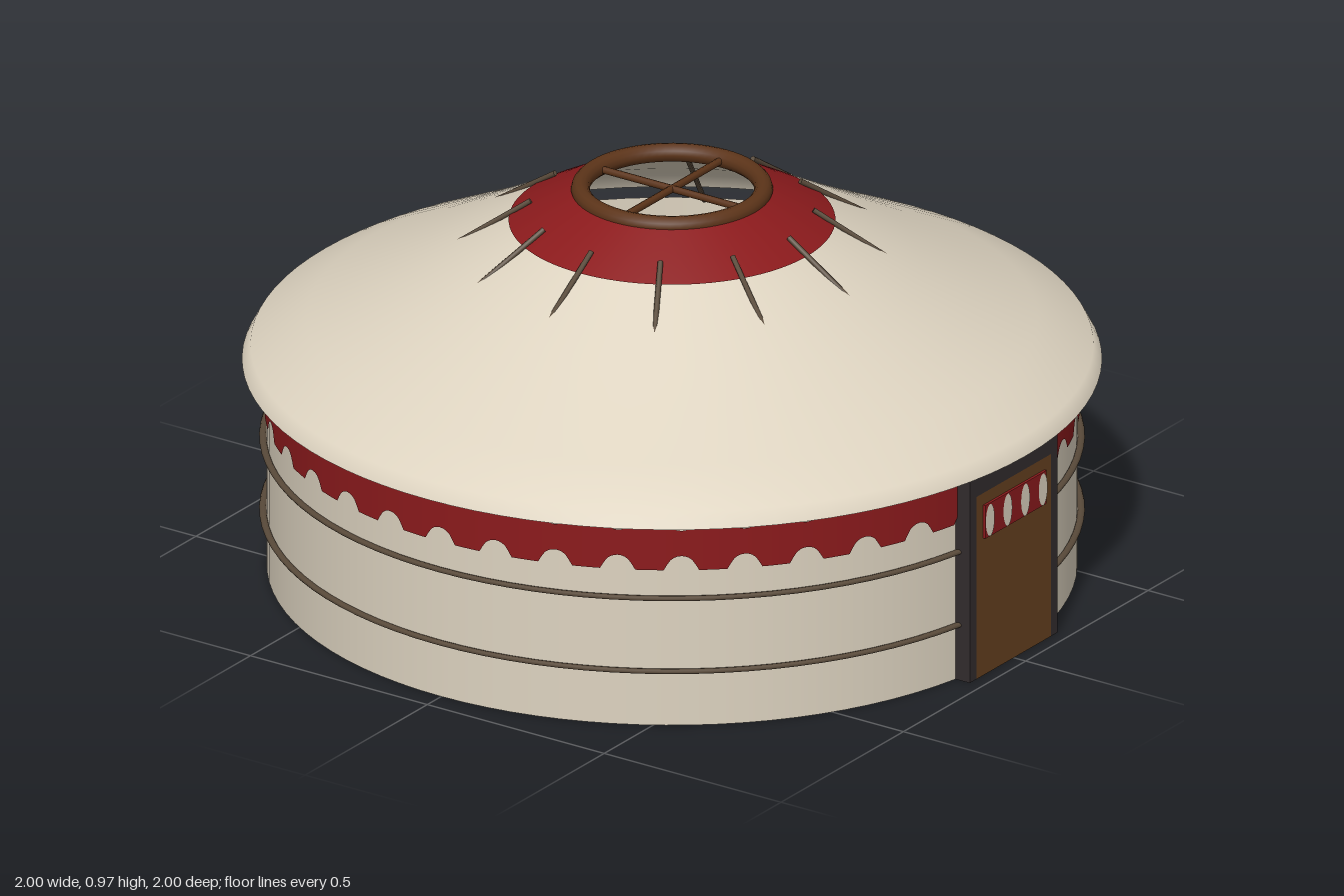
import * as THREE from 'three';

const mat = (name, color, side = THREE.FrontSide) => {
  const m = new THREE.MeshStandardMaterial({ color, side });
  m.name = name;
  return m;
};

export function createModel() {
  const felt = mat('cream felt', 0xddd3c0, THREE.DoubleSide);
  const red = mat('red cloth', 0x8b1a1c, THREE.DoubleSide);
  const crownWood = mat('crown wood', 0x5c3419);
  const doorWood = mat('door wood', 0x65401f);
  const frameWood = mat('dark frame', 0x322c2d);
  const rope = mat('pole and rope', 0x594a3a);

  const group = new THREE.Group();
  const add = (name, geometry, material, x = 0, y = 0, z = 0, parent = group) => {
    const m = new THREE.Mesh(geometry, material);
    m.name = name;
    m.position.set(x, y, z);
    parent.add(m);
    return m;
  };
  const lathe = (pts) => new THREE.LatheGeometry(pts.map(([r, y]) => new THREE.Vector2(r, y)), 96);

  // Round felt wall, open below, with an air gap under the eave
  add('wall', new THREE.CylinderGeometry(0.943, 0.943, 0.518, 96, 1, true), felt, 0, 0.259, 0);

  // Gently concave roof with a short turned-down eave
  add('roof', lathe([[1, 0.52], [0.98, 0.557], [0.85, 0.622], [0.71, 0.692],
    [0.58, 0.761], [0.49, 0.81], [0.38, 0.868], [0.3, 0.912], [0.2, 0.96]]), felt);

  // Red collar around the smoke hole
  add('roofCollar', lathe([[0.38, 0.872], [0.3, 0.916], [0.205, 0.962]]), red);

  // Red wall band with rounded notches along both edges, smaller at the top
  const COUNT = 40;
  const bandGeo = new THREE.CylinderGeometry(0.948, 0.948, 1, COUNT * 18, 1, true);
  const p = bandGeo.attributes.position;
  const period = (Math.PI * 2) / COUNT;
  const notch = (d, half) => Math.sqrt(Math.max(0, 1 - (d / half) ** 2));
  for (let i = 0; i < p.count; i++) {
    const a = Math.atan2(p.getX(i), p.getZ(i));
    const d = a - Math.round(a / period) * period;
    p.setY(i, p.getY(i) > 0 ? 0.513 - 0.018 * notch(d, 0.03) : 0.395 + 0.036 * notch(d, 0.038));
  }
  add('wallBand', bandGeo, red);

  // Flat ropes tied around the wall
  const ropeGeo = new THREE.TorusGeometry(0.951, 0.009, 8, 96);
  ropeGeo.rotateX(Math.PI / 2);
  ropeGeo.scale(1, 0.65, 1);
  for (const y of [0.14, 0.325]) add('wallRope', ropeGeo, rope, 0, y, 0);

  // Twelve straight rafters whose upper ends break through the felt
  const up = new THREE.Vector3(0, 1, 0);
  const low = new THREE.Vector3(0.925, 0.52, 0);
  const high = new THREE.Vector3(0.33, 0.908, 0);
  const dir = high.clone().sub(low);
  const rafterGeo = new THREE.CylinderGeometry(0.0065, 0.0065, dir.length(), 8);
  rafterGeo.applyQuaternion(new THREE.Quaternion().setFromUnitVectors(up, dir.clone().normalize()));
  const mid = low.clone().add(high).multiplyScalar(0.5);
  rafterGeo.translate(mid.x, mid.y, 0);
  for (let i = 0; i < 12; i++) {
    add('rafter', rafterGeo, rope).rotation.y = (i * Math.PI) / 6;
  }

  // Crown ring with crossed bars
  const crown = new THREE.Group();
  crown.name = 'crown';
  crown.position.y = 0.95;
  group.add(crown);
  add('crownRing', new THREE.TorusGeometry(0.213, 0.022, 12, 64), crownWood, 0, 0, 0, crown).rotation.x = Math.PI / 2;
  for (const turn of [0, Math.PI / 2]) {
    const bar = add('crownBar', new THREE.CylinderGeometry(0.009, 0.009, 0.42, 8), crownWood, 0, 0, 0, crown);
    bar.rotation.set(Math.PI / 2, 0, turn);
  }

  // Door on the model's left side
  const door = new THREE.Group();
  door.name = 'door';
  group.add(door);
  for (const s of [-1, 1]) {
    add('doorJamb', new THREE.BoxGeometry(0.046, 0.517, 0.027), frameWood, 0.943, 0.2585, s * 0.166, door);
  }
  add('doorLintel', new THREE.BoxGeometry(0.046, 0.055, 0.308), frameWood, 0.943, 0.4895, 0, door);
  add('doorPanel', new THREE.BoxGeometry(0.034, 0.462, 0.306), doorWood, 0.949, 0.231, 0, door);

  // Door valance: red cloth with four cream ovals
  add('doorValance', new THREE.BoxGeometry(0.009, 0.084, 0.25), red, 0.968, 0.39, 0, door);
  const ovalGeo = new THREE.CircleGeometry(1, 20);
  ovalGeo.scale(0.018, 0.041, 1);
  ovalGeo.rotateY(Math.PI / 2);
  for (const z of [-0.108, -0.036, 0.036, 0.108]) {
    add('valanceOval', ovalGeo, felt, 0.9745, 0.39, z, door);
  }

  return group;
}
